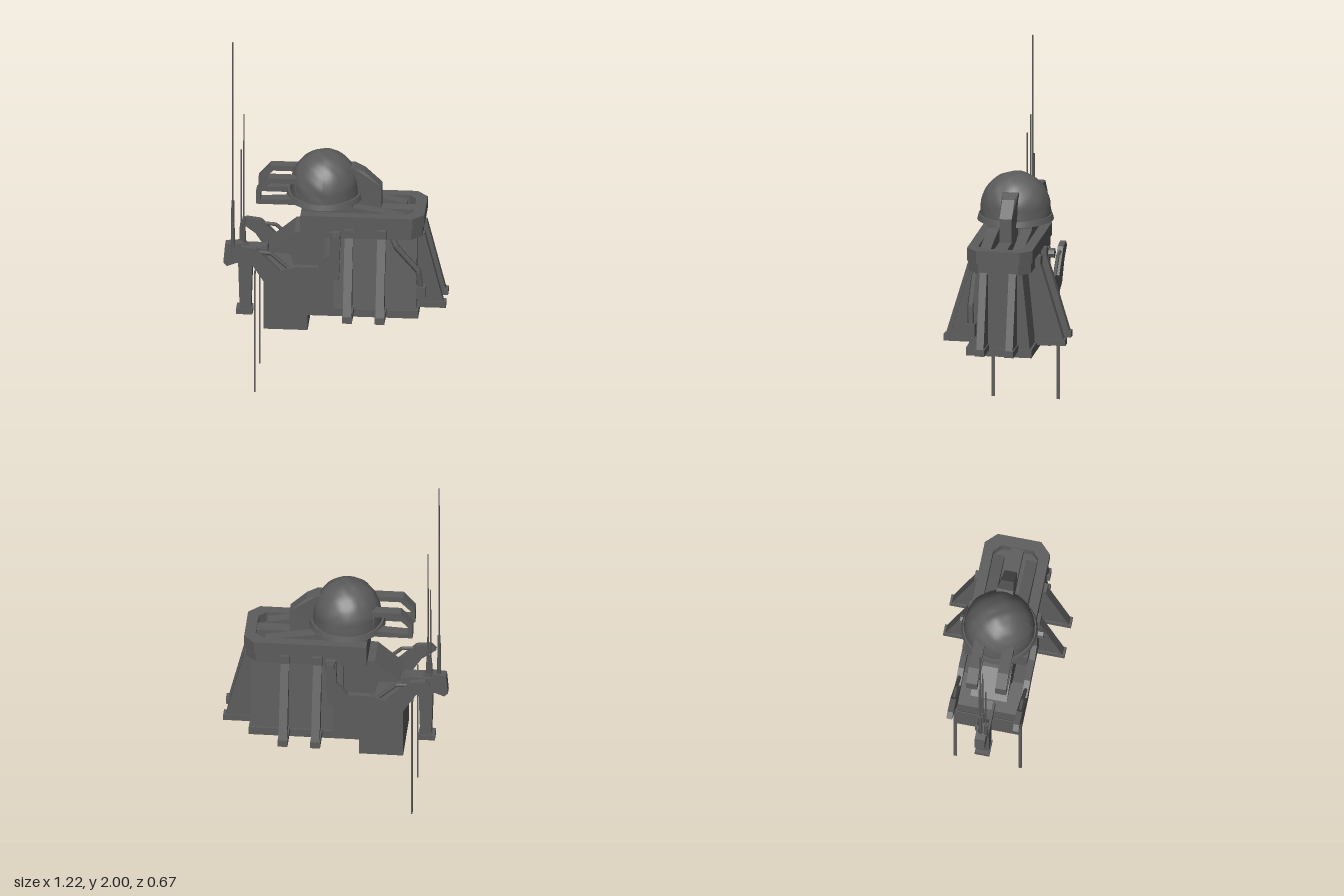
import * as THREE from 'three';

const smooth = new THREE.MeshStandardMaterial({ color: 0x5c5c5c, side: THREE.DoubleSide });
const flat = new THREE.MeshStandardMaterial({ color: 0x5c5c5c, flatShading: true, side: THREE.DoubleSide });

export function createModel() {
  const model = new THREE.Group();
  const add = (name, geo, mat = flat) => {
    const m = new THREE.Mesh(geo, mat);
    m.name = name;
    model.add(m);
    return m;
  };
  const shape = (pts) => new THREE.Shape(pts.map((p) => new THREE.Vector2(p[0], p[1])));
  // Side profile (x, y) extruded between two z values
  const plate = (name, pts, z0, z1) => add(name,
    new THREE.ExtrudeGeometry(shape(pts), { depth: z1 - z0, bevelEnabled: false }).translate(0, 0, z0));
  // Plan outline (x, z) extruded between two heights, with an optional hole
  const slab = (name, pts, y0, y1, hole) => {
    const s = shape(pts);
    if (hole) s.holes.push(shape(hole));
    return add(name, new THREE.ExtrudeGeometry(s, { depth: y1 - y0, bevelEnabled: false })
      .rotateX(Math.PI / 2).translate(0, y1, 0));
  };
  const box = (name, x0, x1, y0, y1, z0, z1) => add(name,
    new THREE.BoxGeometry(x1 - x0, y1 - y0, z1 - z0).translate((x0 + x1) / 2, (y0 + y1) / 2, (z0 + z1) / 2));
  const tube = (name, pts, r) => {
    const path = new THREE.CurvePath();
    const v = pts.map((p) => new THREE.Vector3(...p));
    for (let i = 1; i < v.length; i++) path.add(new THREE.LineCurve3(v[i - 1], v[i]));
    return add(name, new THREE.TubeGeometry(path, 24, r, 6), smooth);
  };
  const rod = (name, x, z, y0, y1, r) => add(name,
    new THREE.CylinderGeometry(r * 0.8, r, y1 - y0, 6).translate(x, (y0 + y1) / 2, z), smooth);
  // Plan outline with a chamfered rear end
  const outline = (x0, x1, w, c) => [[x0, -w], [x1 - c, -w], [x1, -w + c], [x1, w - c], [x1 - c, w], [x0, w]];

  // Torso skirt: box that narrows towards the collar
  const skirt = new THREE.BoxGeometry(0.5, 0.45, 0.34);
  const sp = skirt.attributes.position;
  for (let i = 0; i < sp.count; i++) {
    if (sp.getY(i) > 0) sp.setZ(i, sp.getZ(i) * 0.74);
  }
  add('torsoSkirt', skirt.translate(0.2, 0.72, 0));
  plate('chest', [[-0.2, 0.66], [-0.24, 0.79], [-0.36, 0.8], [-0.22, 0.92], [0, 0.94], [0, 0.66]], -0.1, 0.1);

  // Lower hull with the chin box and a flat underside
  plate('lowerHull', [[-0.38, 0.375], [-0.14, 0.375], [-0.14, 0.465], [0.46, 0.465],
    [0.46, 0.51], [0, 0.51], [0, 0.69], [-0.2, 0.7], [-0.38, 0.68]], -0.18, 0.18);

  // Collar with a sunken deck
  slab('collarRim', outline(-0.18, 0.49, 0.18, 0.06), 0.99, 1.06, outline(-0.12, 0.43, 0.125, 0.04));
  slab('collarBase', outline(-0.18, 0.48, 0.17, 0.06), 0.93, 1.0);
  box('deckSpine', 0.1, 0.46, 1.0, 1.05, -0.035, 0.035);
  plate('neck', [[-0.18, 1.05], [0.1, 1.05], [0.1, 1.12], [-0.16, 1.12]], -0.12, 0.12);

  // Head dome: round crown on a short skirt, with a dented surface
  const profile = [[0.193, 1.125], [0.193, 1.15]];
  for (let i = 0; i <= 16; i++) {
    const a = (i / 16) * Math.PI / 2;
    profile.push([0.19 * Math.cos(a), 1.17 + 0.195 * Math.sin(a)]);
  }
  const dome = new THREE.LatheGeometry(profile.map((p) => new THREE.Vector2(...p)), 48);
  const dp = dome.attributes.position;
  for (let i = 0; i < dp.count; i++) {
    const x = dp.getX(i), y = dp.getY(i) - 1.13, z = dp.getZ(i);
    const k = 1 + 0.015 * Math.sin(48 * x + 30 * y) * Math.sin(42 * y + 1) * Math.cos(50 * z - 20 * x);
    dp.setXYZ(i, x * k * 0.97 - 0.06, y * k + 1.13, z * k);
  }
  dome.computeVertexNormals();
  add('headDome', dome, smooth);
  add('domeRing', new THREE.CylinderGeometry(0.2, 0.208, 0.03, 32).translate(-0.06, 1.12, 0), smooth);

  // Ridge down the back of the head, narrowing to the rear
  const ridge = plate('headRidge', [[0.02, 1.05], [0.25, 1.05], [0.25, 1.18], [0.16, 1.265], [0.1, 1.29], [0.02, 1.28]],
    -0.045, 0.045).geometry;
  const rp = ridge.attributes.position;
  for (let i = 0; i < rp.count; i++) {
    if (rp.getX(i) > 0.15) rp.setZ(i, rp.getZ(i) * 0.75);
  }

  for (const s of [-1, 1]) {
    // Sloping strips from the neck down onto the deck
    plate('deckStrip', [[0, 1.0], [0.38, 1.0], [0.38, 1.04], [0.25, 1.065], [0.1, 1.09], [0, 1.1]],
      s * 0.09 - 0.03, s * 0.09 + 0.03);

    // Open visor frame ahead of the dome
    const frame = shape([[-0.425, 1.09], [-0.425, 1.17], [-0.36, 1.245], [-0.2, 1.245], [-0.2, 1.09]]);
    frame.holes.push(shape([[-0.4, 1.115], [-0.215, 1.125], [-0.215, 1.215], [-0.345, 1.215], [-0.4, 1.16]]));
    add('visorFrame', new THREE.ExtrudeGeometry(frame, { depth: 0.06, bevelEnabled: false })
      .translate(0, 0, s * 0.08 - 0.03));

    // Side buttress fins, flaring outward towards the foot
    for (const x of [0.085, 0.262]) {
      const fin = shape([[0.1, 0.52], [0.32, 0.52], [0.19, 0.95], [0.1, 0.95]].map((p) => [p[0] * s, p[1]]));
      const g = new THREE.ExtrudeGeometry(fin, { depth: 0.035, bevelEnabled: false });
      add('sideFin', g.rotateY(-Math.PI / 2).translate(x + 0.0175, 0, 0));
      const edge = box('finEdge', -0.023, 0.023, -0.235, 0.235, -0.012, 0.012);
      edge.position.set(x, 0.735, s * 0.25);
      edge.rotation.x = -s * 0.292;
      box('finFoot', x - 0.027, x + 0.027, 0.495, 0.53, s > 0 ? 0.15 : -0.335, s > 0 ? 0.335 : -0.15);
      box('finCap', x - 0.025, x + 0.025, 0.93, 0.99, s * 0.175 - 0.025, s * 0.175 + 0.025);
    }

    // Rear fins
    const z = s * 0.08;
    plate('rearFin', [[0.43, 0.52], [0.595, 0.52], [0.49, 0.94], [0.43, 0.94]], z - 0.02, z + 0.02);
    box('rearFinFoot', 0.44, 0.605, 0.5, 0.535, z - 0.026, z + 0.026);

    // Arm: shoulder post, elbow and raised forearm
    const za = s * 0.183;
    plate('arm', [[0.04, 0.97], [-0.015, 0.97], [-0.02, 0.83], [-0.08, 0.76], [-0.2, 0.76], [-0.29, 0.73],
      [-0.42, 0.86], [-0.5, 0.87], [-0.53, 0.84], [-0.45, 0.78], [-0.38, 0.67], [-0.3, 0.64],
      [-0.14, 0.69], [0.03, 0.69]], za - 0.016, za + 0.016);
    add('shoulderKnob', new THREE.CylinderGeometry(0.027, 0.027, 0.07, 8)
      .rotateX(Math.PI / 2).translate(0.015, 0.94, s * 0.195));
    tube('forearmCable', [[-0.48, 0.84, za], [-0.34, 0.83, za], [-0.25, 0.75, za]], 0.01);

    // Long flat rods hanging from the forearms
    const zr = s * 0.179 + 0.009;
    box('hangingRod', -0.431, -0.423, 0, 0.72, zr - 0.009, zr + 0.009);
  }
  tube('crossBar', [[-0.427, 0.7, -0.175], [-0.427, 0.7, 0.175]], 0.005);

  // Hose along one flank
  tube('flankHose', [[0.31, 0.95, 0.14], [0.34, 0.88, 0.155], [0.46, 0.74, 0.155], [0.475, 0.62, 0.15]], 0.017);
  box('hoseClamp', 0.45, 0.5, 0.58, 0.65, 0.125, 0.175);

  // Antenna mast unit in front
  plate('mastBody', [[-0.61, 0.69], [-0.6, 0.8], [-0.5, 0.81], [-0.46, 0.78], [-0.37, 0.8], [-0.36, 0.74],
    [-0.46, 0.7], [-0.54, 0.69], [-0.59, 0.67]], -0.028, 0.028);
  box('mastBracket', -0.53, -0.37, 0.74, 0.79, -0.04, 0.04);
  plate('mastLeg', [[-0.53, 0.74], [-0.45, 0.74], [-0.46, 0.41], [-0.52, 0.41]], -0.035, 0.035);
  box('mastFoot', -0.54, -0.45, 0.39, 0.42, -0.04, 0.04);
  const antennas = [[-0.56, -0.005, 2], [-0.5, -0.005, 1.57], [-0.515, -0.02, 1.35], [-0.558, 0.025, 1.45]];
  for (const [x, z, top] of antennas) {
    rod('antenna', x, z, 0.78, top, 0.005);
    rod('antennaBase', x, z, 0.78, 0.78 + (top - 0.78) * 0.22, 0.012);
  }
  return model;
}
